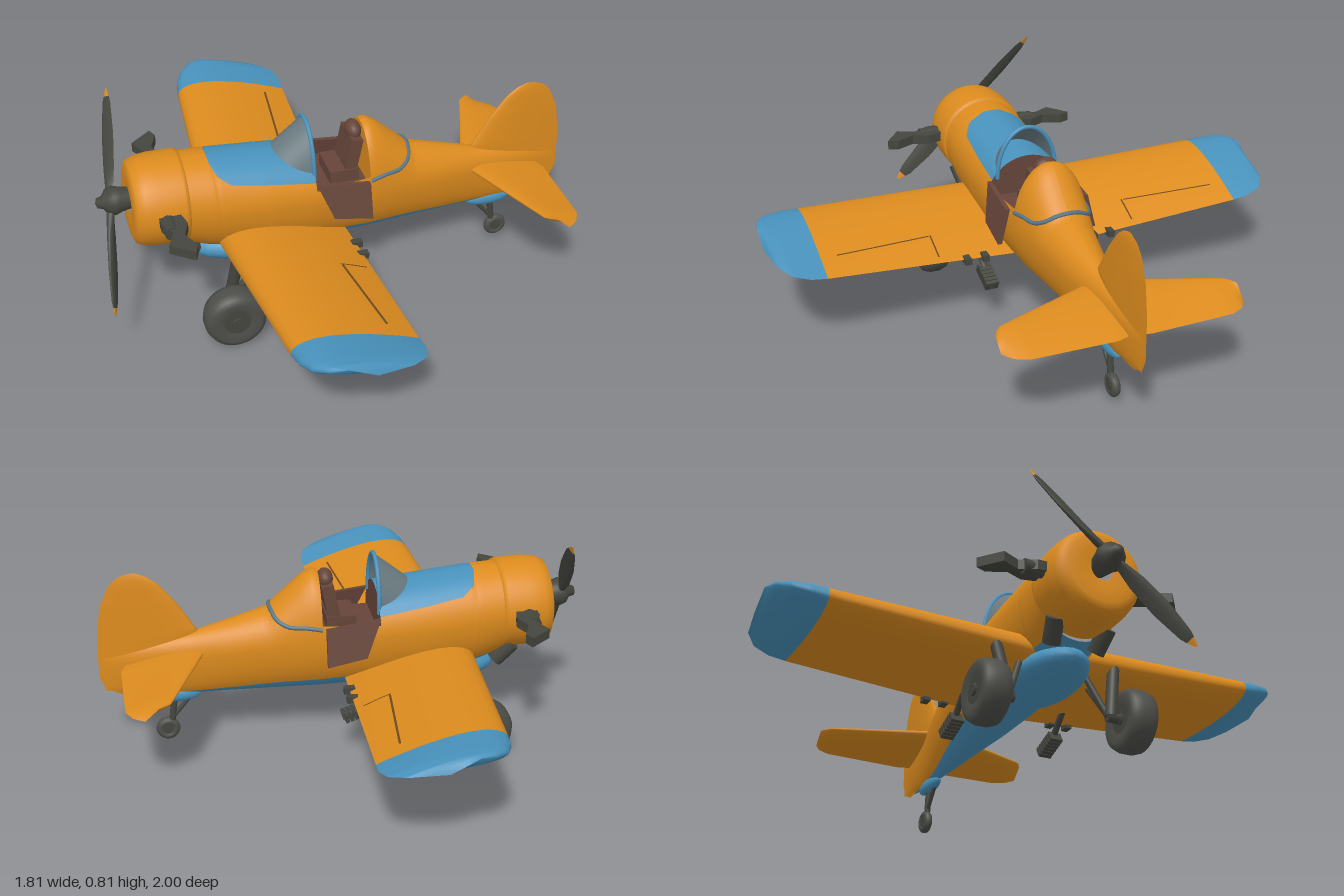
import * as THREE from 'three';

const mat = (name, color, side = THREE.FrontSide) => {
  const m = new THREE.MeshStandardMaterial({ color, side });
  m.name = name;
  return m;
};
const V = (x, y, z) => new THREE.Vector3(x, y, z);

// Piecewise linear lookup: rows of [key, value, value, ...]
function look(rows, k) {
  if (k <= rows[0][0]) return rows[0].slice(1);
  for (let i = 1; i < rows.length; i++) {
    if (k <= rows[i][0]) {
      const t = (k - rows[i - 1][0]) / (rows[i][0] - rows[i - 1][0]);
      return rows[i].slice(1).map((v, j) => rows[i - 1][j + 1] * (1 - t) + v * t);
    }
  }
  return rows[rows.length - 1].slice(1);
}

// Surface grid from a function of u, v
function grid(fn, nu, nv, flip = false) {
  const pos = [], idx = [];
  for (let i = 0; i <= nu; i++) for (let j = 0; j <= nv; j++) pos.push(...fn(i / nu, j / nv));
  for (let i = 0; i < nu; i++) for (let j = 0; j < nv; j++) {
    const a = i * (nv + 1) + j, b = a + 1, c = a + nv + 1, d = c + 1;
    idx.push(...(flip ? [a, c, b, b, c, d] : [a, b, c, b, d, c]));
  }
  const g = new THREE.BufferGeometry();
  g.setAttribute('position', new THREE.Float32BufferAttribute(pos, 3));
  g.setIndex(idx);
  g.computeVertexNormals();
  return g;
}

// Fuselage sections: x, top, bottom, widest height, half width
const BODY = [[-0.6, 0.65, 0.31, 0.49, 0.157], [-0.5, 0.645, 0.27, 0.48, 0.162], [-0.3, 0.625, 0.225, 0.46, 0.165],
  [-0.12, 0.605, 0.215, 0.45, 0.16], [0.08, 0.665, 0.21, 0.43, 0.14], [0.11, 0.678, 0.21, 0.43, 0.137],
  [0.15, 0.655, 0.21, 0.425, 0.13], [0.22, 0.59, 0.21, 0.42, 0.117], [0.28, 0.535, 0.21, 0.41, 0.105],
  [0.4, 0.5, 0.21, 0.395, 0.085], [0.55, 0.46, 0.21, 0.375, 0.055], [0.7, 0.43, 0.212, 0.36, 0.032], [0.88, 0.39, 0.24, 0.34, 0.004]];
const skin = (x, th, k = 1) => {
  const [top, bot, mid, hw] = look(BODY, x), c = Math.cos(th);
  return [x, mid + k * c * (c > 0 ? top - mid : mid - bot), k * hw * Math.sin(th)];
};
const HOOD = [[-0.49, 0.25], [-0.475, 0.65], [-0.43, 0.88], [-0.12, 1.05]];
const BELLY = [[-0.6, 2.6], [-0.4, 2.35], [0, 2.35], [0.3, 2.45], [0.72, 2.85]];

// Lifting surfaces: span, leading edge, trailing edge, height, thickness
const WING = [[0, -0.49, 0, 0.3, 0.135], [0.82, -0.42, 0.025, 0.365, 0.095], [0.88, -0.41, 0.028, 0.375, 0.085],
  [0.94, -0.385, 0.01, 0.39, 0.065], [0.98, -0.34, -0.05, 0.405, 0.04], [1, -0.28, -0.18, 0.415, 0]];
const TAIL = [[0, 0.5, 0.8, 0.378, 0.045], [0.06, 0.52, 0.82, 0.378, 0.04], [0.37, 0.64, 0.815, 0.38, 0.025],
  [0.42, 0.66, 0.79, 0.38, 0.016], [0.445, 0.7, 0.75, 0.38, 0]];
const FIN = [[0.222, 0.7, 0.82, 0, 0.012], [0.25, 0.68, 0.877, 0, 0.025], [0.3, 0.62, 0.9, 0, 0.035], [0.46, 0.53, 0.898, 0, 0.04],
  [0.58, 0.605, 0.88, 0, 0.03], [0.66, 0.67, 0.845, 0, 0.02], [0.69, 0.71, 0.815, 0, 0.012], [0.705, 0.75, 0.77, 0, 0]];
const BLADE = [[0.03, -0.015, 0.015, 0, 0.03], [0.12, -0.03, 0.03, 0, 0.022], [0.24, -0.034, 0.034, 0, 0.016],
  [0.36, -0.022, 0.024, 0, 0.01], [0.408, -0.004, 0.004, 0, 0]];
function foilPoint(rows, s, f, up, camber, slope) {
  const [le, te, y, T] = look(rows, s);
  const n = 5 * (0.2969 * Math.sqrt(f) - 0.126 * f - 0.3516 * f * f + 0.2843 * f ** 3 - 0.1036 * f ** 4);
  return [le + (te - le) * f, y - slope * (f - 0.3) + n * T * (up ? 1 + camber : camber - 1), s];
}
const foil = (rows, s0, s1, n, side = 1, camber = 0, slope = 0) => grid((u, v) => {
  const t = 2 * Math.PI * v;
  const p = foilPoint(rows, s0 + (s1 - s0) * u, (1 + Math.cos(t)) / 2, v < 0.5, camber, slope);
  return [p[0], p[1], p[2] * side];
}, n, 28, side < 0);

export function createModel() {
  const model = new THREE.Group();
  const orange = mat('orange paint', 0xdc8b1e), blue = mat('blue paint', 0x4891bb, THREE.DoubleSide);
  const dark = mat('dark metal', 0x45463f), brown = mat('brown leather', 0x66453a, THREE.DoubleSide);
  const glass = mat('grey glass', 0x697a80, THREE.DoubleSide), slate = mat('slate trim', 0x587586);
  const seam = mat('panel seam', 0x6b4a1c, THREE.DoubleSide), tyre = mat('tyre rubber', 0x4d4e49);
  const add = (name, geo, m, parent = model) => {
    const mesh = new THREE.Mesh(geo, m);
    mesh.name = name;
    parent.add(mesh);
    return mesh;
  };
  const box = (name, w, h, d, x, y, z, m) => {
    const b = add(name, new THREE.BoxGeometry(w, h, d), m);
    b.position.set(x, y, z);
    return b;
  };
  const rod = (name, a, b, r, m = dark) => {
    const d = b.clone().sub(a), c = add(name, new THREE.CylinderGeometry(r, r, d.length(), 12), m);
    c.position.copy(a).addScaledVector(d, 0.5);
    c.quaternion.setFromUnitVectors(V(0, 1, 0), d.normalize());
  };
  const tube = (name, pts, r, m) => add(name, new THREE.TubeGeometry(new THREE.CatmullRomCurve3(pts), 32, r, 8), m);

  // Fuselage skin, in bands between two angles that vary along x
  const band = (name, x0, x1, a, b, m, n = 24) => add(name, grid((u, v) => {
    const x = x0 + (x1 - x0) * u, t0 = a(x), t1 = b(x);
    return skin(x, t0 + (t1 - t0) * v);
  }, n, 20), m);
  const belly = x => look(BELLY, x)[0], hood = x => look(HOOD, x)[0], full = 2 * Math.PI;
  for (const [x0, x1, top] of [[-0.6, -0.49, () => 0], [-0.49, -0.12, hood], [-0.12, 0.09, () => 1.25], [0.09, 0.88, () => 0]]) {
    const n = x1 > 0.5 ? 60 : 24;
    band('fuselageLeft', x0, x1, top, belly, orange, n);
    band('fuselageRight', x0, x1, x => full - belly(x), x => full - top(x), orange, n);
  }
  band('hood', -0.49, -0.12, x => -hood(x), hood, blue, 30);
  band('belly', -0.6, 0.8, belly, x => full - belly(x), blue, 50);
  const scoop = add('bellyFairing', new THREE.SphereGeometry(1, 24, 16), blue);
  scoop.scale.set(0.23, 0.07, 0.13);
  scoop.position.set(-0.36, 0.27, 0);
  const skid = add('tailFairing', new THREE.SphereGeometry(1, 20, 12), blue);
  skid.scale.set(0.09, 0.03, 0.025);
  skid.position.set(0.62, 0.207, 0);

  // Engine cowl, spinner and propeller
  const lathe = (pts, n = 40) => new THREE.LatheGeometry(pts.map(p => new THREE.Vector2(...p)), n).rotateZ(-Math.PI / 2);
  const cowl = add('engineCowl', lathe([[0.04, -0.095], [0.08, -0.1], [0.125, -0.1], [0.15, -0.09], [0.163, -0.06], [0.169, -0.01],
    [0.169, 0.08], [0.165, 0.094], [0.15, 0.098]]), orange);
  cowl.position.set(-0.68, 0.493, 0);
  cowl.rotation.z = -0.03;
  const spinner = add('spinner', lathe([[0, -0.06], [0.018, -0.055], [0.024, -0.035], [0.045, -0.02], [0.054, 0.005], [0.045, 0.03], [0.035, 0.09]], 24), dark);
  spinner.position.set(-0.835, 0.515, 0);
  for (const s of [1, -1]) {
    const z = V(0.06, 0.295, -0.27).multiplyScalar(s).normalize();
    const x = V(1, 0, 0).cross(z).normalize().multiplyScalar(0.87).add(V(0.5, 0, 0));
    x.addScaledVector(z, -x.dot(z)).normalize();
    const blade = new THREE.Group();
    blade.name = 'propellerBlade';
    blade.quaternion.setFromRotationMatrix(new THREE.Matrix4().makeBasis(x, z.clone().cross(x), z));
    blade.position.set(-0.84, 0.513, 0);
    add('blade', foil(BLADE, 0.03, 0.378, 16), dark, blade);
    add('bladeTip', foil(BLADE, 0.378, 0.408, 4), orange, blade);
    model.add(blade);
  }

  // Fin
  add('fin', foil(FIN, 0.222, 0.705, 36), orange).rotation.x = -Math.PI / 2;

  // Cockpit tub and seat
  for (const [name, x, m, flip] of [['fairingFront', 0.09, orange, false], ['dashboard', -0.12, brown, true]])
    add(name, grid((u, v) => skin(x, -1.6 + 3.2 * v, Math.max(u, 0.001)), 1, 24, flip), m);
  box('cockpitFloor', 0.21, 0.02, 0.27, -0.015, 0.45, 0, brown);
  box('seatCushion', 0.11, 0.05, 0.14, 0.01, 0.485, 0, brown);
  box('seatBack', 0.045, 0.16, 0.13, 0.045, 0.55, 0, brown).rotation.z = -0.2;
  const rest = add('headrest', new THREE.SphereGeometry(1, 20, 14), brown);
  rest.scale.set(0.03, 0.036, 0.045);
  rest.position.set(0.062, 0.638, 0);

  // Windscreen with its arch
  add('windscreen', grid((u, v) => {
    const t = (v - 0.5) * Math.PI, c = Math.cos(t);
    return [-0.12 - 0.13 * c * (1 - u), 0.53 + c * (0.085 + 0.105 * u), 0.117 * Math.sin(t)];
  }, 6, 24), glass);
  const arch = [];
  for (let i = 0; i <= 12; i++) {
    const t = (i / 12 - 0.5) * Math.PI;
    arch.push(V(-0.12, 0.53 + 0.19 * Math.cos(t), 0.117 * Math.sin(t)));
  }
  tube('windscreenArch', arch, 0.008, blue);

  // Trim line around the headrest fairing
  const trim = [[0.09, 1.32], [0.15, 1.25], [0.21, 1.12], [0.25, 0.8], [0.265, 0.4]];
  const trimPath = [...trim, [0.27, 0], ...trim.map(([x, t]) => [x, -t]).reverse()];
  tube('fairingTrim', trimPath.map(([x, t]) => V(...skin(x, t))), 0.008, slate);

  for (const s of [1, -1]) {
    // Wing, tip and tailplane
    add('wing', foil(WING, 0, 0.82, 16, s, 0.25, 0.05), orange);
    add('wingTip', foil(WING, 0.82, 1, 18, s, 0.25, 0.05), blue);
    add('tailplane', foil(TAIL, 0, 0.445, 30, s, 0, 0.045), orange);

    // Aileron seams laid on the upper wing skin
    for (const [a, b, dx, dz] of [[[0.4, 0.74], [0.76, 0.79], 0.008, 0], [[0.39, 0.74], [0.39, 0.95], 0, 0.006]])
      add('aileronSeam', grid((u, v) => {
        const p = foilPoint(WING, a[0] + (b[0] - a[0]) * u + dz * v, a[1] + (b[1] - a[1]) * u, true, 0.25, 0.05);
        return [p[0] + dx * v, p[1] + 0.003, p[2] * s];
      }, 10, 1), seam);

    // Fold-down cockpit door, flaring outward at the bottom
    const door = new THREE.Shape([[-0.12, 0.525], [-0.065, 0.39], [0.08, 0.365], [0.08, 0.5]].map(p => new THREE.Vector2(...p)));
    const doorGeo = new THREE.ExtrudeGeometry(door, { depth: 0.016, bevelEnabled: false });
    const dp = doorGeo.attributes.position;
    for (let i = 0; i < dp.count; i++) dp.setZ(i, dp.getZ(i) - 0.008 + s * (0.15 + (0.52 - dp.getY(i)) * 0.24));
    doorGeo.computeVertexNormals();
    add('cockpitDoor', doorGeo, brown);

    // Swept side guns and lower exhausts
    const slab = new THREE.Shape([[-0.7, 0.13], [-0.63, 0.13], [-0.61, 0.22], [-0.635, 0.28], [-0.605, 0.35], [-0.62, 0.388], [-0.7, 0.325], [-0.67, 0.26], [-0.7, 0.2]]
      .map(([x, z]) => new THREE.Vector2(x, z * s)));
    add('sideGun', new THREE.ExtrudeGeometry(slab, { depth: 0.036, bevelEnabled: false }).rotateX(Math.PI / 2), dark).position.y = 0.523;
    rod('gunMount', V(-0.67, 0.503, s * 0.14), V(-0.67, 0.503, s * 0.24), 0.027);
    rod('exhaust', V(-0.63, 0.365, s * 0.1), V(-0.57, 0.295, s * 0.085), 0.032);

    // Main wheel with hub and legs
    const wheel = new THREE.Group();
    wheel.name = 'mainWheel';
    wheel.position.set(-0.475, 0.115, s * 0.278);
    add('tyre', new THREE.LatheGeometry([[0.05, -0.046], [0.085, -0.055], [0.106, -0.043], [0.115, -0.018], [0.115, 0.018], [0.106, 0.043], [0.085, 0.055], [0.05, 0.046]]
      .map(p => new THREE.Vector2(...p)), 36).rotateX(Math.PI / 2), tyre, wheel);
    add('hub', new THREE.CylinderGeometry(0.052, 0.052, 0.092, 20).rotateX(Math.PI / 2), dark, wheel);
    add('axleCap', new THREE.CylinderGeometry(0.022, 0.022, 0.112, 10).rotateX(Math.PI / 2), dark, wheel);
    model.add(wheel);
    rod('axle', V(-0.475, 0.115, s * 0.18), V(-0.475, 0.115, s * 0.28), 0.018);
    rod('mainLeg', V(-0.475, 0.115, s * 0.195), V(-0.445, 0.32, s * 0.23), 0.022);
    rod('rearLeg', V(-0.45, 0.14, s * 0.195), V(-0.33, 0.3, s * 0.18), 0.013);
    rod('innerLeg', V(-0.46, 0.13, s * 0.19), V(-0.42, 0.28, s * 0.13), 0.012);

    // Ribbed pods hanging under the wing
    rod('podArm', V(-0.14, 0.29, s * 0.2), V(-0.05, 0.2, s * 0.2), 0.012);
    for (let i = 0; i < 6; i++)
      box('podRib', 0.014, 0.04, 0.05, -0.065 + i * 0.017, 0.197 - i * 0.006, s * 0.2, dark).rotation.z = -0.5;
    rod('podCore', V(-0.07, 0.2, s * 0.2), V(0.03, 0.165, s * 0.2), 0.014);
    for (const z of [0.22, 0.29]) box('trailingFitting', 0.04, 0.025, 0.025, 0.008, 0.285, s * z, dark);
  }

  // Tail wheel
  add('tailWheel', new THREE.TorusGeometry(0.029, 0.016, 12, 24), tyre).position.set(0.66, 0.065, 0);
  add('tailHub', new THREE.CylinderGeometry(0.02, 0.02, 0.03, 14).rotateX(Math.PI / 2), dark).position.set(0.66, 0.065, 0);
  rod('tailLeg', V(0.645, 0.085, 0), V(0.63, 0.2, 0), 0.012);
  rod('tailBrace', V(0.64, 0.11, 0), V(0.57, 0.195, 0), 0.008);
  return model;
}
